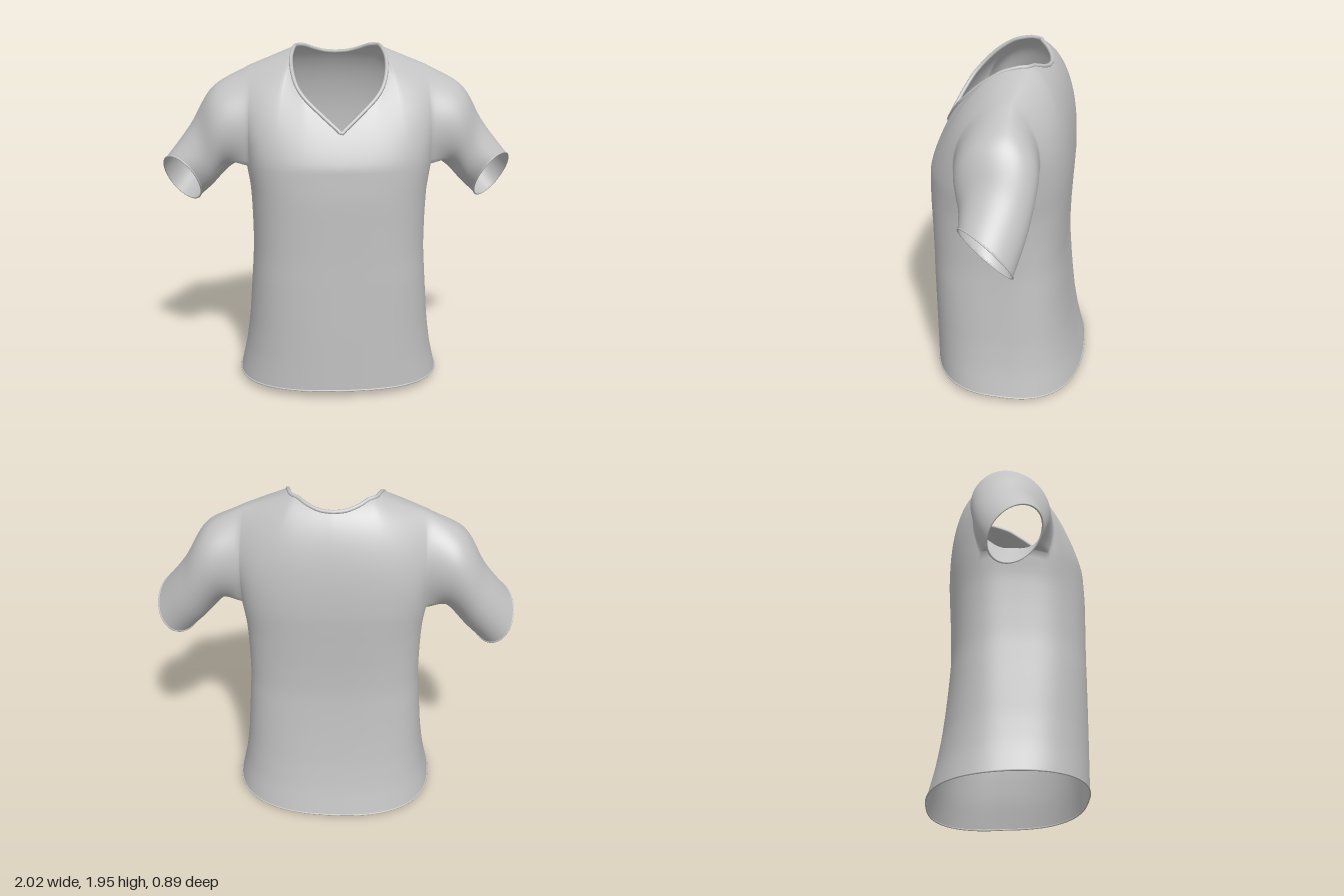
import * as THREE from 'three';
import { mergeVertices } from 'three/addons/utils/BufferGeometryUtils.js';

const N = 192;          // points round the torso
const ARM = 34;         // ring index where the armhole starts
const NECK = 20;        // ring index where the neckline meets the shoulder seam
const ROWS = 36;        // rows from chest to shoulder
const CHEST = 1.31;     // height of the ring at the armpits
const V = (x, y, z) => new THREE.Vector3(x, y, z);
const lerp = THREE.MathUtils.lerp;

// half width, front depth and back depth, evenly spaced from hem to chest
const bodyProfile = new THREE.CatmullRomCurve3([
  [0.582, 0.442, 0.442], [0.547, 0.443, 0.4], [0.525, 0.444, 0.37], [0.512, 0.444, 0.35],
  [0.5, 0.444, 0.335], [0.492, 0.444, 0.326], [0.494, 0.446, 0.329], [0.502, 0.448, 0.337],
  [0.527, 0.441, 0.346],
].map((p) => V(...p)));

// half necklines from the centre out to the shoulder seam
const frontNeck = new THREE.CatmullRomCurve3([
  [0, 1.515], [0.1, 1.603], [0.195, 1.692], [0.238, 1.755], [0.262, 1.84], [0.26, 1.905], [0.24, 1.938],
].map(([x, y]) => V(x, y, 0)));
const backNeck = new THREE.CatmullRomCurve3([
  [0, 1.888], [0.07, 1.894], [0.135, 1.913], [0.195, 1.936], [0.24, 1.938],
].map(([x, y]) => V(x, y, 0)));

// sleeve cross-sections: centre, upward axis, forward axis
const sleeveRings = [
  [V(0.665, 1.49, -0.008), V(0.04, 0.227, -0.02), V(0, 0, 0.217)],
  [V(0.787, 1.325, -0.012), V(0.052, 0.178, -0.02), V(-0.03, 0.04, 0.18)],
  [V(0.893, 1.2, 0.008), V(0.1, 0.1, -0.02), V(-0.045, 0.1, 0.146)],
];

// point k on the torso ring at fraction v between hem and chest
function ringPoint(k, v) {
  k = ((k % N) + N) % N;
  const side = k > N / 2 ? -1 : 1;
  if (side < 0) k = N - k;
  const front = k <= N / 4;
  const a = (Math.min(k, N / 2 - k) / N) * Math.PI * 2;
  const s = Math.sin(a), c = Math.cos(a);
  const n = lerp(2.5, 3, Math.min(1, v * 2));
  const r = (s ** n + Math.abs(c) ** n) ** (-1 / n);
  const p = bodyProfile.getPoint(v);
  const hem = 0.035 + (front ? 0.01 : -0.028) * c;
  const armStart = (ARM / N) * Math.PI * 2;
  const under = Math.max(0, (a - armStart) / (Math.PI / 2 - armStart));
  const top = CHEST + 0.022 * Math.sin(under * Math.PI / 2);
  return V(side * p.x * r * s, lerp(hem, top, v), (front ? p.y : -p.z) * r * c);
}

// point on the front or back panel: column q (signed, from the centre), row i
function panelPoint(front, q, i) {
  const n = Math.abs(q), side = q < 0 ? -1 : 1;
  const base = ringPoint(front ? n : N / 2 - n, 1);
  const ridge = (x) => 1.95 - 0.4 * Math.max(0, x - 0.21);
  let top;
  if (n <= NECK) top = (front ? frontNeck : backNeck).getPointAt(n / NECK);
  else {
    const x = lerp(0.24, 0.5, (n - NECK) / (ARM - NECK));
    top = V(x, ridge(x), 0);
  }
  const t = 1 - (1 - i / ROWS) ** 2;
  const x = lerp(base.x, top.x, t ** 3);
  const y = lerp(base.y, top.y, t);
  const rise = Math.min(1, Math.max(0, (y - CHEST) / (lerp(ridge(x), ridge(top.x), t) - CHEST)));
  const eased = (1.05 * rise * rise) / (rise + 0.05);
  const outer = (n / ARM) ** 4;
  const zTop = -0.09 + 0.08 * x;
  const power = front ? lerp(1.12, 2.2, outer) : 2.3;
  const bulge = Math.sqrt(Math.max(0, 1 - eased ** power));
  // fullness where the sleeve is set in
  const fullness = (front ? 0.045 : -0.055) * outer * Math.sin(Math.PI * rise);
  return V(side * x, y, zTop + (base.z - zTop) * bulge + fullness);
}

// closed armhole loop: underarm, up the back edge, down the front edge
function armholeLoop() {
  const loop = [];
  for (let k = ARM; k < N / 2 - ARM; k++) loop.push(ringPoint(k, 1));
  for (let i = 0; i < ROWS; i++) loop.push(panelPoint(false, ARM, i));
  for (let i = ROWS; i > 0; i--) loop.push(panelPoint(true, ARM, i));
  return loop;
}

export function createModel() {
  const group = new THREE.Group();
  const fabric = new THREE.MeshStandardMaterial({ color: 0xc2c2c2, side: THREE.DoubleSide });
  fabric.name = 'grey fabric';

  // all cloth panels go into one welded surface so that the shading runs across the seams
  const positions = [], index = [], parts = [];
  function addGrid(name, rows, cols, point, flip = false) {
    const first = positions.length / 3, start = index.length;
    for (let i = 0; i <= rows; i++)
      for (let j = 0; j <= cols; j++) positions.push(...point(i, j).toArray());
    for (let i = 0; i < rows; i++)
      for (let j = 0; j < cols; j++) {
        const a = first + i * (cols + 1) + j, b = a + 1, d = a + cols + 1, c = d + 1;
        if (flip) index.push(a, c, b, a, d, c);
        else index.push(a, b, c, a, c, d);
      }
    parts.push({ name, start, count: index.length - start });
  }

  // torso and upper panels
  addGrid('body', 32, N, (i, j) => ringPoint(j, i / 32));
  addGrid('frontPanel', ROWS, 2 * ARM, (i, j) => panelPoint(true, j - ARM, i));
  addGrid('backPanel', ROWS, 2 * ARM, (i, j) => panelPoint(false, ARM - j, i));

  // sleeves
  const loop = armholeLoop(), STEPS = 24;
  const strands = loop.map((p) => {
    const a = Math.atan2(p.z, p.y - 1.56);
    const path = sleeveRings.map(([c, up, fwd]) =>
      c.clone().addScaledVector(up, Math.cos(a)).addScaledVector(fwd, Math.sin(a)));
    return new THREE.CatmullRomCurve3([p, ...path]).getPoints(STEPS);
  });
  const sleevePoint = (side) => (i, j) => {
    const p = strands[j % loop.length][i];
    return V(side * p.x, p.y, p.z);
  };
  addGrid('leftSleeve', STEPS, loop.length, sleevePoint(1));
  addGrid('rightSleeve', STEPS, loop.length, sleevePoint(-1), true);

  let cloth = new THREE.BufferGeometry();
  cloth.setAttribute('position', new THREE.Float32BufferAttribute(positions, 3));
  cloth.setIndex(index);
  cloth = mergeVertices(cloth, 1e-5);
  cloth.computeVertexNormals();
  const welded = Array.from(cloth.index.array);
  for (const { name, start, count } of parts) {
    const g = new THREE.BufferGeometry();
    g.setAttribute('position', cloth.attributes.position);
    g.setAttribute('normal', cloth.attributes.normal);
    g.setIndex(welded.slice(start, start + count));
    const mesh = new THREE.Mesh(g, fabric);
    mesh.name = name;
    group.add(mesh);
  }

  // rolled edges at neck, hem and cuffs
  function addTrim(name, points, radius) {
    const curve = new THREE.CatmullRomCurve3(points, true);
    const mesh = new THREE.Mesh(new THREE.TubeGeometry(curve, 160, radius, 8, true), fabric);
    mesh.name = name;
    group.add(mesh);
  }
  const neck = [];
  for (let q = -NECK; q <= NECK; q++) neck.push(panelPoint(true, q, ROWS));
  for (let q = NECK - 1; q > -NECK; q--) neck.push(panelPoint(false, q, ROWS));
  addTrim('neckBand', neck, 0.011);
  addTrim('hem', Array.from({ length: N / 2 }, (_, k) => ringPoint(2 * k, 0)), 0.005);
  for (const [name, side] of [['leftCuff', 1], ['rightCuff', -1]])
    addTrim(name, loop.map((_, j) => sleevePoint(side)(STEPS, j)), 0.005);

  return group;
}
